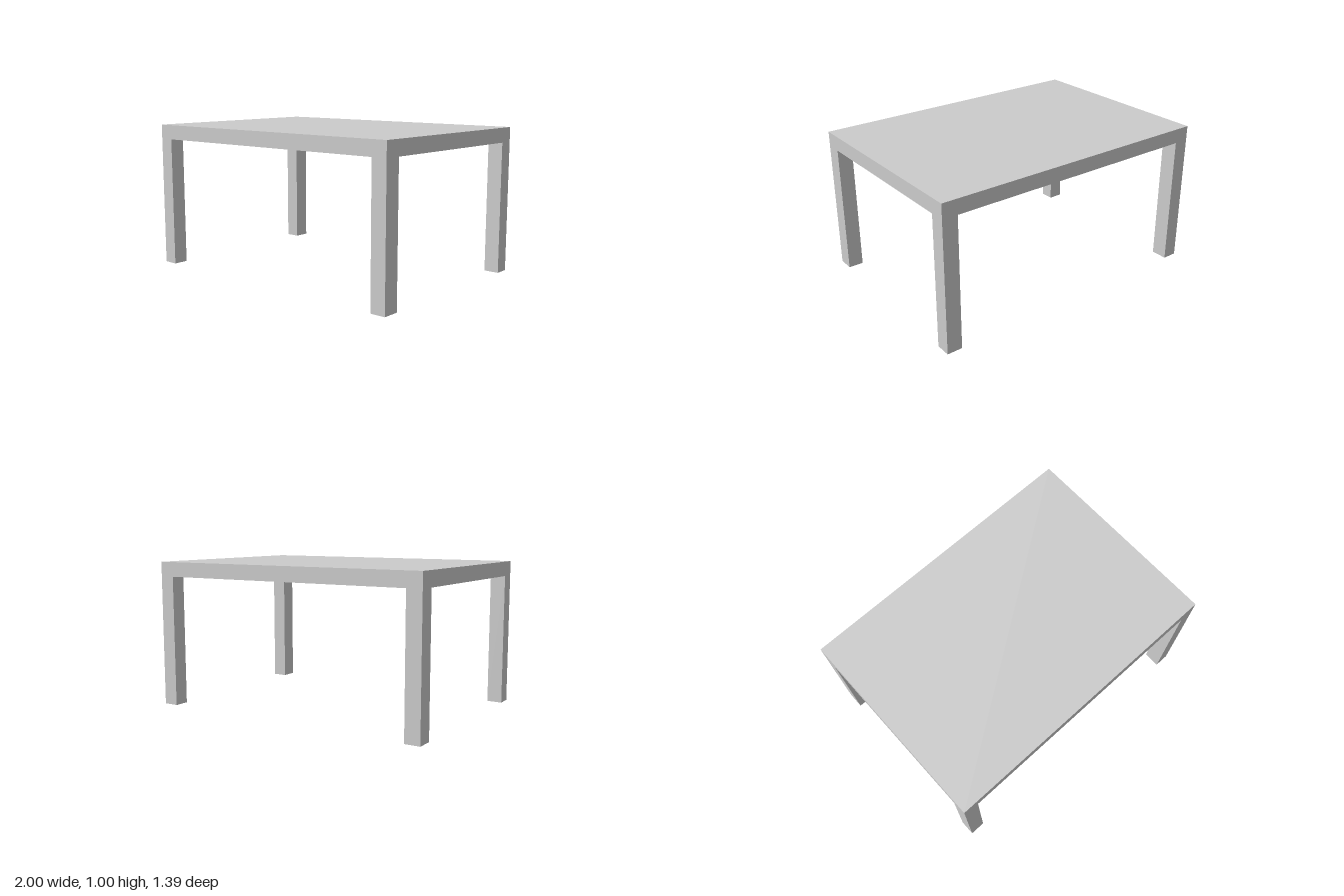
import * as THREE from 'three';

export function createModel() {
  const table = new THREE.Group();
  table.name = 'table';
  const material = new THREE.MeshStandardMaterial({ color: 0xcccccc, flatShading: true });
  const halfX = 1, halfZ = 0.697, height = 1, thickness = 0.1, legWidth = 0.104;
  const legHeight = height - thickness;

  const addBox = (name, w, h, d, x, y, z) => {
    const mesh = new THREE.Mesh(new THREE.BoxGeometry(w, h, d), material);
    mesh.name = name;
    mesh.position.set(x, y, z);
    table.add(mesh);
  };

  // Flat slab top
  addBox('tabletop', halfX * 2, thickness, halfZ * 2, 0, height - thickness / 2, 0);

  // Legs flush with the corners; one diagonal pair is slightly deeper
  for (const sx of [1, -1]) {
    for (const sz of [1, -1]) {
      const depth = sx === sz ? 0.114 : 0.102;
      const name = (sz > 0 ? 'front' : 'back') + (sx > 0 ? 'Left' : 'Right') + 'Leg';
      addBox(name, legWidth, legHeight, depth,
        sx * (halfX - legWidth / 2), legHeight / 2, sz * (halfZ - depth / 2));
    }
  }
  return table;
}
